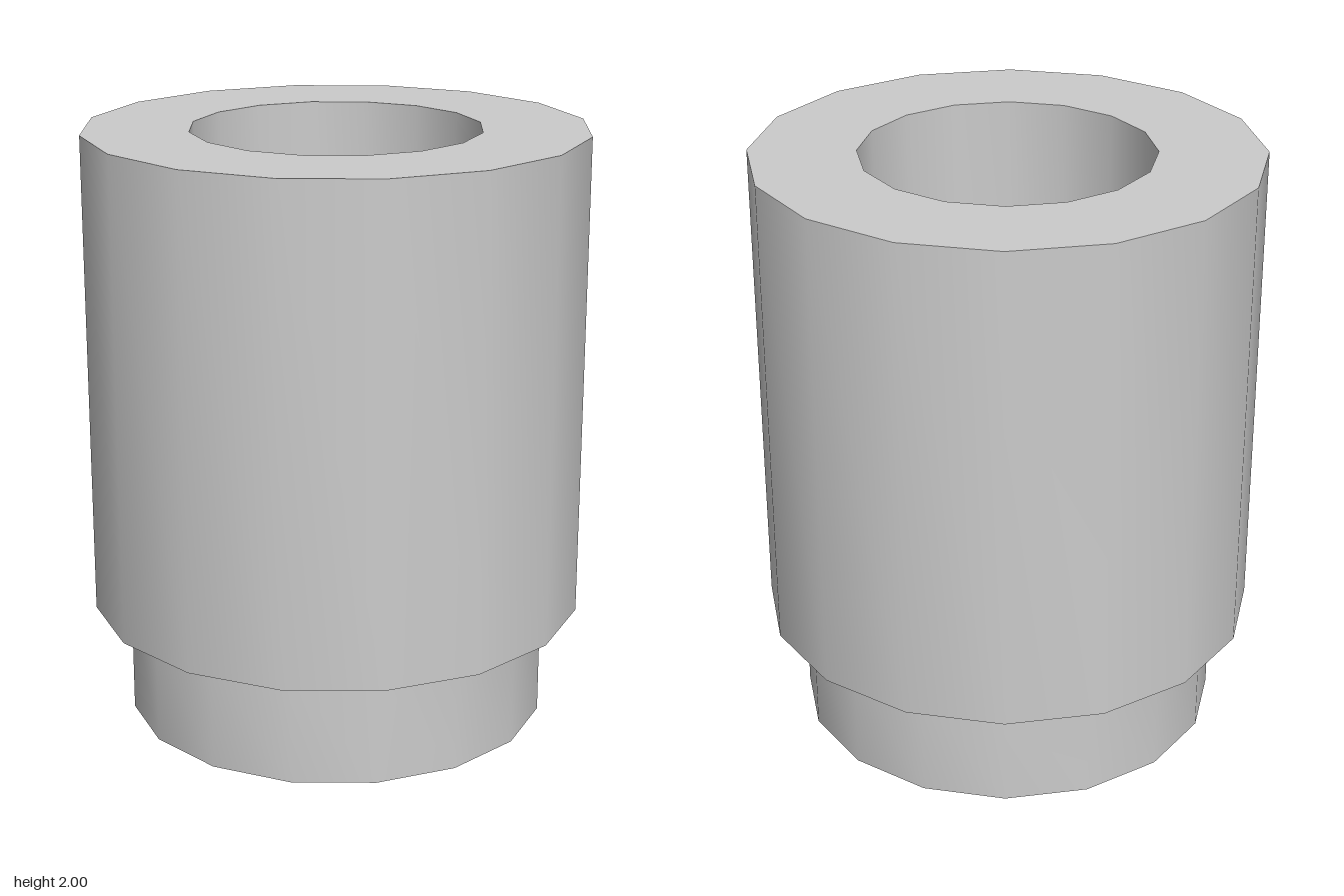
import * as THREE from 'three';
import { toCreasedNormals } from 'three/addons/utils/BufferGeometryUtils.js';

const SIDES = 16;
const SHOULDER = 0.38; // height where the neck meets the body
const BODY_R = 0.83, NECK_R = 0.71, BORE_R = 0.48, NECK_BORE_R = 0.5;

// Revolve an [radius, height] profile, smooth around and sharp at the rims
function revolve(name, profile, material) {
  const points = profile.map(([r, y]) => new THREE.Vector2(r, y));
  const geometry = toCreasedNormals(new THREE.LatheGeometry(points, SIDES), Math.PI / 6);
  const mesh = new THREE.Mesh(geometry, material);
  mesh.name = name;
  return mesh;
}

export function createModel() {
  const group = new THREE.Group();
  group.name = 'steppedBushing';
  const material = new THREE.MeshStandardMaterial({ color: 0xcccccc });

  // Wide upper sleeve: shoulder, outer wall, top rim, bore
  group.add(revolve('body', [
    [BORE_R, SHOULDER], [BODY_R, SHOULDER], [BODY_R, 2], [BORE_R, 2], [BORE_R, SHOULDER],
  ], material));

  // Narrower lower collar: bore, bottom rim, outer wall
  group.add(revolve('neck', [
    [NECK_BORE_R, SHOULDER], [NECK_BORE_R, 0], [NECK_R, 0], [NECK_R, SHOULDER],
  ], material));

  return group;
}
